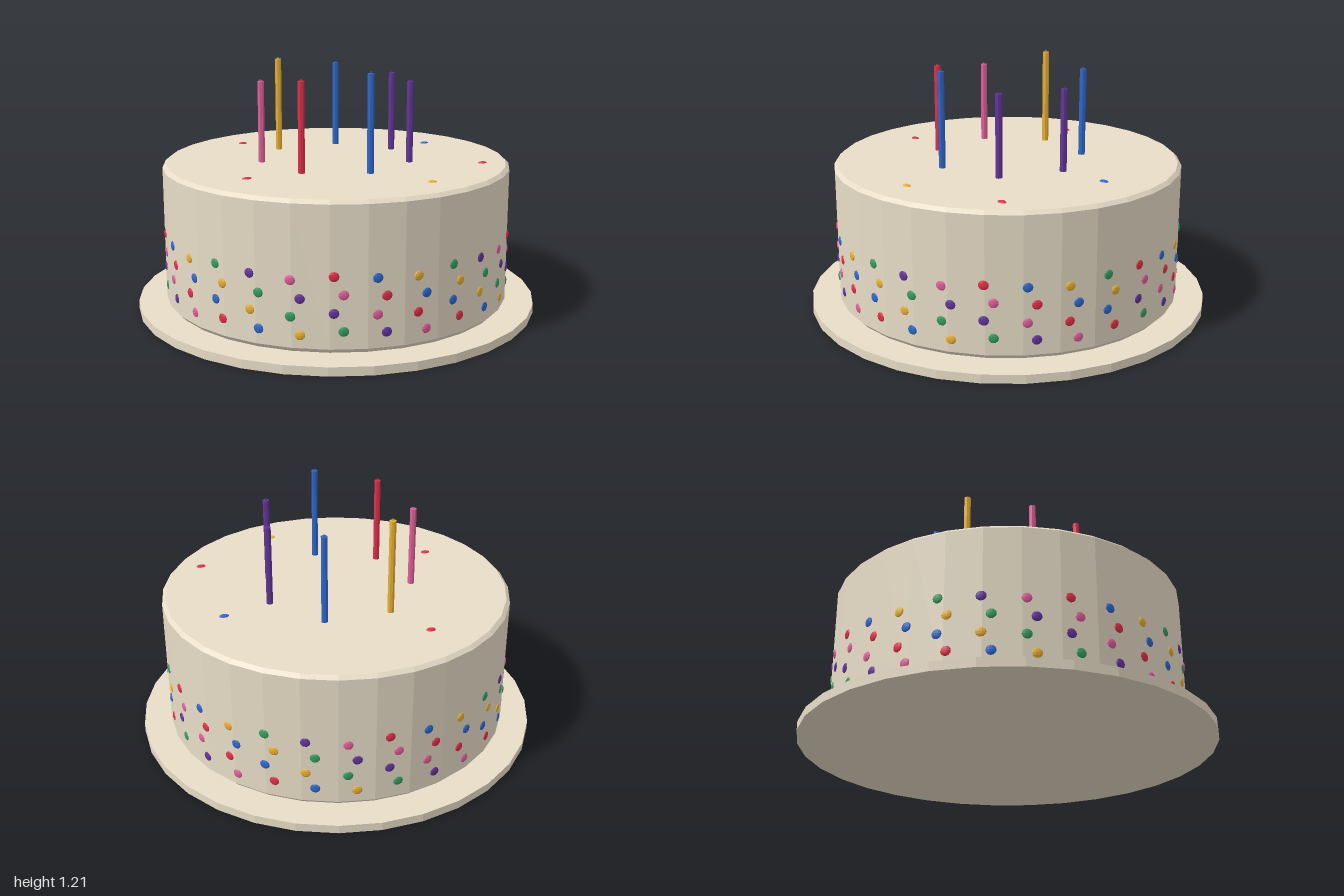
import * as THREE from 'three';

const mat = (name, color) => {
  const m = new THREE.MeshStandardMaterial({ color });
  m.name = name;
  return m;
};

// Faceted normals for the low-poly look
function faceted(geometry) {
  const g = geometry.index ? geometry.toNonIndexed() : geometry;
  g.computeVertexNormals();
  return g;
}

export function createModel() {
  const cream = mat('cream', 0xeadfc9);
  const red = mat('red', 0xe0304a);
  const blue = mat('blue', 0x2f68cc);
  const yellow = mat('yellow', 0xe8b234);
  const green = mat('green', 0x379c62);
  const purple = mat('purple', 0x63359a);
  const pink = mat('pink', 0xe0609a);
  const palette = [red, blue, yellow, green, purple, pink];

  const model = new THREE.Group();
  const SIDES = 32, R = 0.86, TOP = 0.735;

  function add(name, geometry, material, parent = model) {
    const mesh = new THREE.Mesh(geometry, material);
    mesh.name = name;
    parent.add(mesh);
    return mesh;
  }
  function lathe(profile) {
    const points = profile.map(([r, y]) => new THREE.Vector2(r, y));
    return faceted(new THREE.LatheGeometry(points, SIDES));
  }
  function group(name) {
    const g = new THREE.Group();
    g.name = name;
    model.add(g);
    return g;
  }

  // Board and cake with chamfered rims
  add('cakeBoard', lathe([[0, 0], [1, 0], [1, 0.042], [0, 0.042]]), cream);
  add('cake', lathe([
    [0, 0.042], [0.84, 0.042], [R, 0.064], [R, 0.718], [0.842, TOP], [0, TOP],
  ]), cream);

  // Four staggered rows of sprinkles around the side
  const sprinkle = faceted(new THREE.SphereGeometry(1, 10, 6));
  const sideSprinkles = group('sideSprinkles');
  const COUNT = 28, step = (2 * Math.PI) / COUNT, facet = (2 * Math.PI) / SIDES;
  for (let row = 0; row < 4; row++) {
    const start = THREE.MathUtils.degToRad(row % 2 ? 96.1 : 98.95);
    for (let i = 0; i < COUNT; i++) {
      const a = start + i * step;
      // Distance to the flat facet beneath the sprinkle
      const local = (a % facet) - facet / 2;
      const r = R * Math.cos(facet / 2) / Math.cos(local);
      const dot = add('sideSprinkle', sprinkle, palette[(3 + row + i) % 6], sideSprinkles);
      dot.scale.set(0.024, 0.023, 0.008);
      dot.position.set(r * Math.sin(a), 0.146 + row * 0.0837 - (i % 3) * 0.0105, r * Math.cos(a));
      dot.rotation.y = a;
    }
  }

  // Loose sprinkles on top
  const topSprinkles = group('topSprinkles');
  for (const [x, z, m] of [
    [-0.225, -0.585, red], [0.61, -0.085, blue], [-0.585, 0.165, red],
    [0.555, 0.47, red], [0.1, 0.665, yellow],
  ]) {
    const dot = add('topSprinkle', sprinkle, m, topSprinkles);
    dot.scale.set(0.024, 0.007, 0.017);
    dot.position.set(x, TOP, z);
  }

  // Candles with short wicks
  const candles = group('candles');
  for (const [x, z, top, m] of [
    [-0.13, -0.355, 1.205, yellow], [0.195, -0.32, 1.17, blue],
    [-0.355, -0.122, 1.135, pink], [0.367, -0.047, 1.135, purple],
    [-0.315, 0.2, 1.17, red], [0.263, 0.26, 1.135, purple],
    [-0.04, 0.37, 1.205, blue],
  ]) {
    const h = top - TOP + 0.01;
    add('candle', faceted(new THREE.CylinderGeometry(0.0165, 0.0165, h, 8)), m, candles)
      .position.set(x, top - h / 2, z);
    add('wick', faceted(new THREE.CylinderGeometry(0.004, 0.004, 0.01, 6)), m, candles)
      .position.set(x, top + 0.003, z);
  }

  return model;
}
